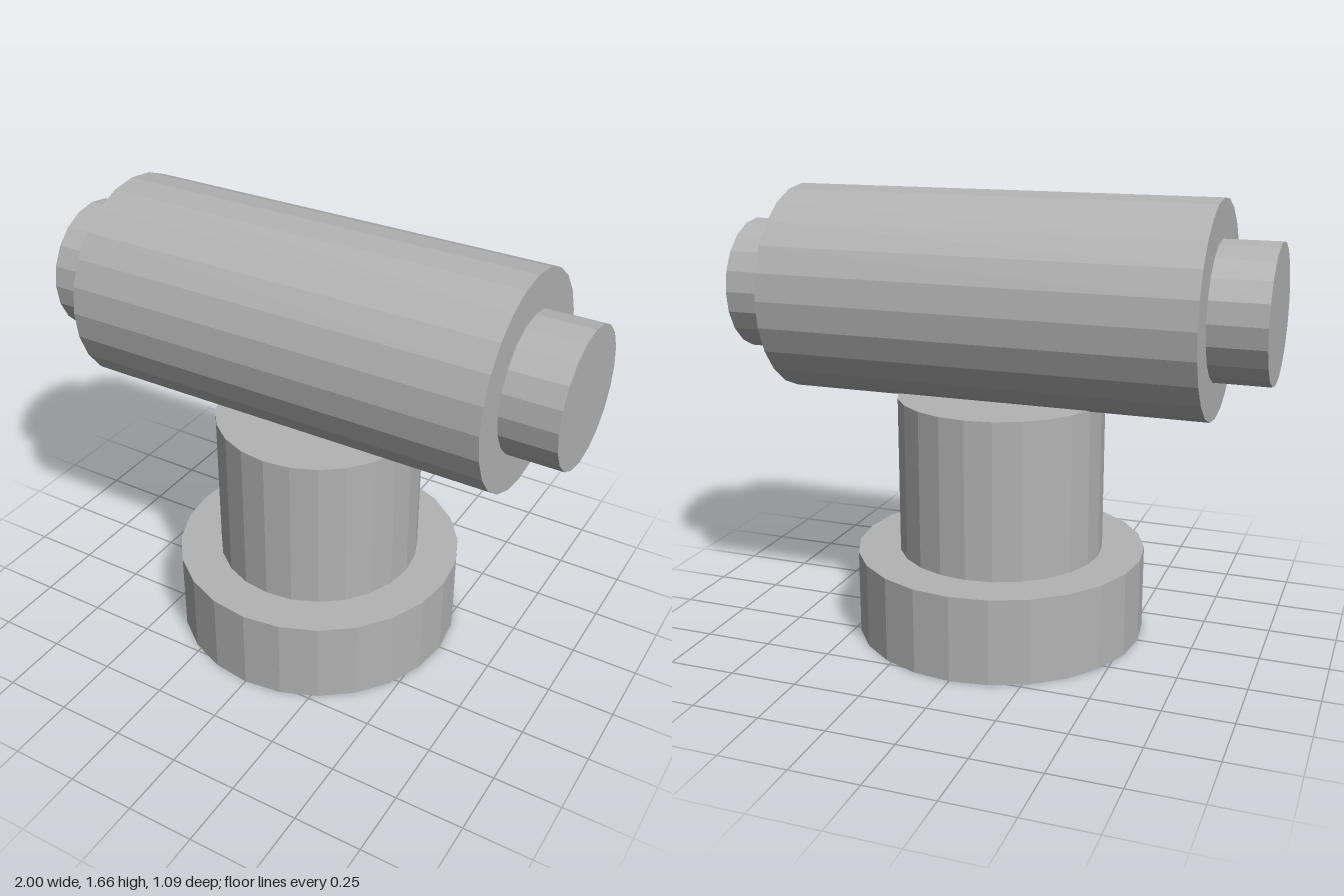
import * as THREE from 'three';

export function createModel() {
  const model = new THREE.Group();
  const grey = new THREE.MeshStandardMaterial({ color: 0xb3b3b3, flatShading: true });
  grey.name = 'grey';

  // Faceted cylinder with a plain part name
  const cylinder = (name, radius, length, sides, y) => {
    const mesh = new THREE.Mesh(new THREE.CylinderGeometry(radius, radius, length, sides), grey);
    mesh.name = name;
    mesh.position.y = y;
    model.add(mesh);
    return mesh;
  };

  // Upright stand
  cylinder('base', 0.545, 0.32, 24, 0.16);
  cylinder('post', 0.386, 0.59, 24, 0.615);

  // Horizontal barrel resting on the post
  const barrelY = 1.275;
  cylinder('barrel', 0.386, 1.594, 24, barrelY).rotation.z = Math.PI / 2;

  // Narrow stub at each end of the barrel
  for (const [name, side] of [['leftStub', 1], ['rightStub', -1]]) {
    const stub = cylinder(name, 0.248, 0.21, 20, barrelY);
    stub.position.x = side * 0.895;
    stub.rotation.z = Math.PI / 2;
  }

  return model;
}
